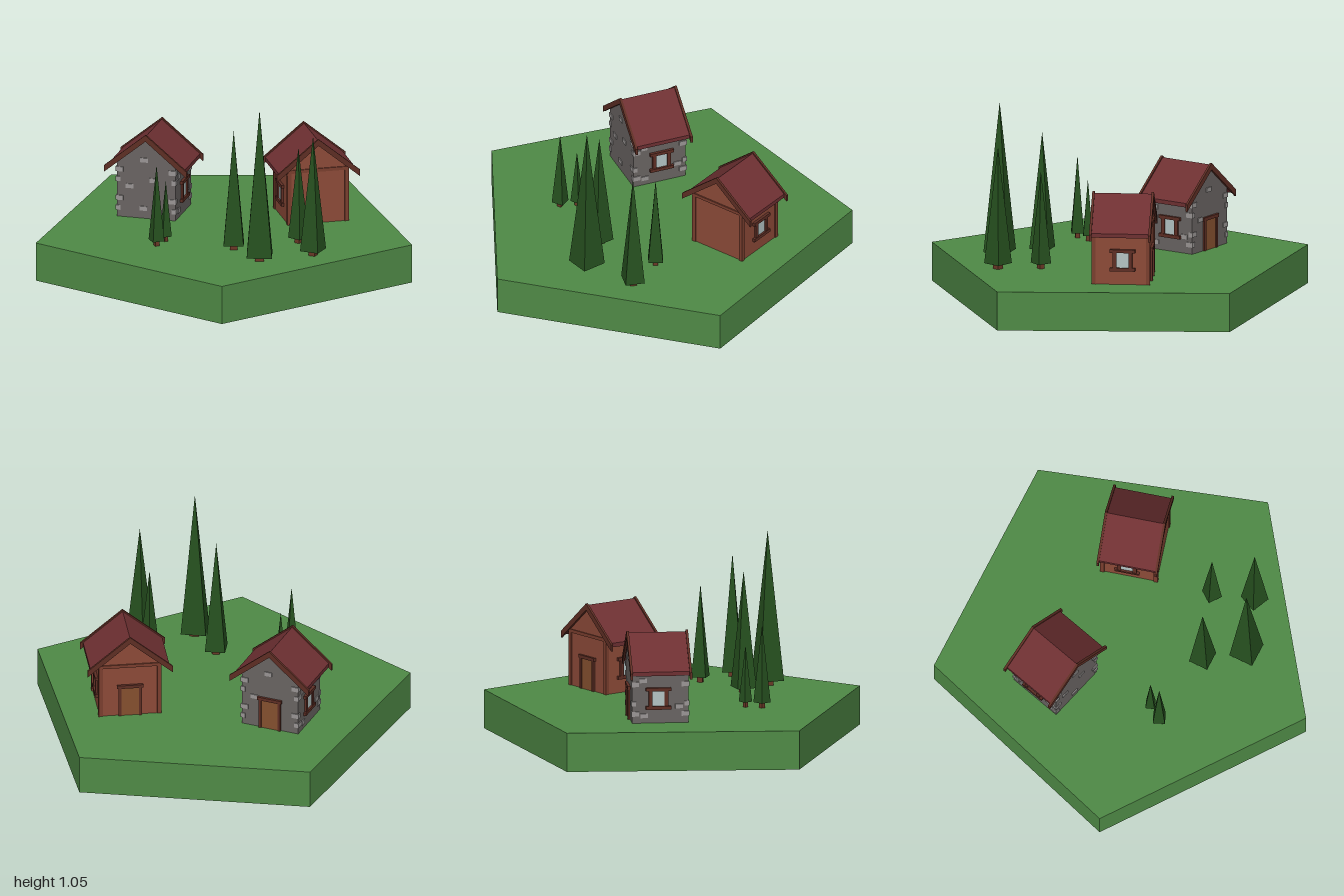
import * as THREE from 'three';

const mat = (color) => new THREE.MeshStandardMaterial({ color, flatShading: true });
const M = {
  grass: mat(0x4f8a46), leaf: mat(0x26501f), trunk: mat(0x6a3826), roof: mat(0x6e3032),
  timber: mat(0x5e2e24), plank: mat(0x8c4a38), post: mat(0x7a3e2e), stone: mat(0x696462),
  block: mat(0x9a9695), door: mat(0x85502f), glass: mat(0xb4c4c4),
};
const GROUND = 0.21, W = 0.162, L = 0.15, SLOPE = 0.82;

function add(parent, name, geometry, material, x = 0, y = 0, z = 0) {
  const mesh = new THREE.Mesh(geometry, material);
  mesh.name = name;
  mesh.position.set(x, y, z);
  parent.add(mesh);
  return mesh;
}
const box = (parent, name, material, w, h, d, x, y, z) =>
  add(parent, name, new THREE.BoxGeometry(w, h, d), material, x, y, z);

// Outline in x/y, extruded along z and centred on z
function prism(points, depth) {
  const shape = new THREE.Shape(points.map(([x, y]) => new THREE.Vector2(x, y)));
  return new THREE.ExtrudeGeometry(shape, { depth, bevelEnabled: false }).translate(0, 0, -depth / 2);
}

// Inverted V: used for the roof and its edge boards
function chevron(half, peak, thick, depth) {
  const low = peak - SLOPE * half;
  return prism([[0, peak], [-half, low], [-half, low - thick], [0, peak - thick],
    [half, low - thick], [half, low]], depth);
}

function addWindow(house, side) {
  const win = new THREE.Group();
  win.name = 'window';
  win.position.set(side * W, 0.343, -0.01);
  house.add(win);
  box(win, 'glass', M.glass, 0.008, 0.09, 0.07, 0, 0, 0);
  for (const s of [-1, 1]) {
    box(win, 'windowJamb', M.timber, 0.024, 0.1, 0.02, 0, 0, s * 0.042);
    box(win, 'windowRail', M.timber, 0.03, 0.018, 0.135, 0, s * 0.05, 0);
  }
}

function addDoor(house) {
  const z = -L, h = 0.165;
  box(house, 'door', M.door, 0.1, h, 0.012, 0, GROUND + h / 2, z);
  for (const s of [-1, 1])
    box(house, 'doorJamb', M.timber, 0.015, h, 0.024, s * 0.055, GROUND + h / 2, z);
  box(house, 'doorLintel', M.timber, 0.14, 0.018, 0.028, 0, GROUND + h + 0.008, z);
}

function makeHouse(name, wallMaterial, x, z, turn) {
  const house = new THREE.Group();
  house.name = name;
  house.position.set(x, 0, z);
  house.rotation.y = turn;
  const wallTop = 0.645 - SLOPE * W;
  add(house, 'walls', prism([[-W, GROUND], [W, GROUND], [W, wallTop], [0, 0.645], [-W, wallTop]], 2 * L), wallMaterial);
  add(house, 'roof', chevron(0.212, 0.67, 0.022, 0.312), M.roof);
  for (const s of [-1, 1]) {
    add(house, 'edgeBoard', chevron(0.228, 0.679, 0.036, 0.013), M.timber, 0, 0, s * 0.158);
    addWindow(house, s);
  }
  addDoor(house);
  return house;
}

// Corner posts and gable beams
function addTimberFrame(house) {
  for (const sx of [-1, 1]) for (const sz of [-1, 1])
    box(house, 'cornerPost', M.post, 0.022, 0.29, 0.022, sx * (W - 0.005), GROUND + 0.145, sz * (L - 0.005));
  for (const s of [-1, 1]) {
    box(house, 'gableBeam', M.post, 2 * W + 0.01, 0.018, 0.02, 0, 0.505, s * (L - 0.003));
    box(house, 'eaveBeam', M.post, 0.02, 0.018, 2 * L, s * (W - 0.003), 0.492, 0);
  }
}

// Corner blocks and scattered stones standing proud of the walls
function addStones(house) {
  for (const sx of [-1, 1]) for (const sz of [-1, 1])
    [0.26, 0.315, 0.42, 0.475].forEach((y, i) => {
      const long = i % 2;
      const w = long ? 0.042 : 0.026, d = long ? 0.026 : 0.042;
      box(house, 'cornerBlock', M.block, w, 0.026, d, sx * (W + 0.005 - w / 2), y, sz * (L + 0.005 - d / 2));
    });
  for (const s of [-1, 1]) {
    for (const [x, y] of [[-0.01, 0.535], [-0.015, 0.265], [0.04, 0.425], [-0.09, 0.385]]) {
      if (s < 0 && Math.abs(x) < 0.06 && y < 0.5) continue;
      box(house, 'wallStone', M.block, 0.042, 0.024, 0.01, s * x, y, s * L);
    }
    for (const [z, y] of [[0.085, 0.25], [-0.1, 0.3], [0.09, 0.44]])
      box(house, 'wallStone', M.block, 0.01, 0.024, 0.04, s * W, y, s * z);
  }
}

function makeTree(x, z, side, top, turn) {
  const tree = new THREE.Group();
  tree.name = 'tree';
  tree.position.set(x, 0, z);
  tree.rotation.y = turn;
  const foot = 0.24, t = side * 0.36;
  box(tree, 'trunk', M.trunk, t, 0.06, t, 0, GROUND + 0.02, 0);
  const cone = new THREE.ConeGeometry(side / Math.SQRT2, top - foot, 4).rotateY(Math.PI / 4);
  add(tree, 'foliage', cone, M.leaf, 0, (top + foot) / 2, 0);
  return tree;
}

export function createModel() {
  const model = new THREE.Group();
  model.name = 'village';

  // Five-sided ground slab with a corner at the front
  add(model, 'ground', new THREE.CylinderGeometry(1.0515, 1.0515, GROUND, 5), M.grass, 0, GROUND / 2, -0.1);

  const stoneHouse = makeHouse('stoneHouse', M.stone, -0.382, -0.348, -0.262);
  addStones(stoneHouse);
  const timberHouse = makeHouse('timberHouse', M.plank, 0.4545, -0.291, 0.262);
  addTimberFrame(timberHouse);
  model.add(stoneHouse, timberHouse);

  // x, z, foot width, top height, turn
  const trees = [
    [0.053, 0.31, 0.107, 0.87, 0], [0.193, 0.5, 0.135, 1.05, 0],
    [0.395, 0.195, 0.078, 0.74, -0.64], [0.476, 0.408, 0.104, 0.875, -0.42],
    [-0.358, 0.258, 0.065, 0.66, 0.4], [-0.31, 0.182, 0.05, 0.545, 0.35],
  ];
  for (const t of trees) model.add(makeTree(...t));
  return model;
}
